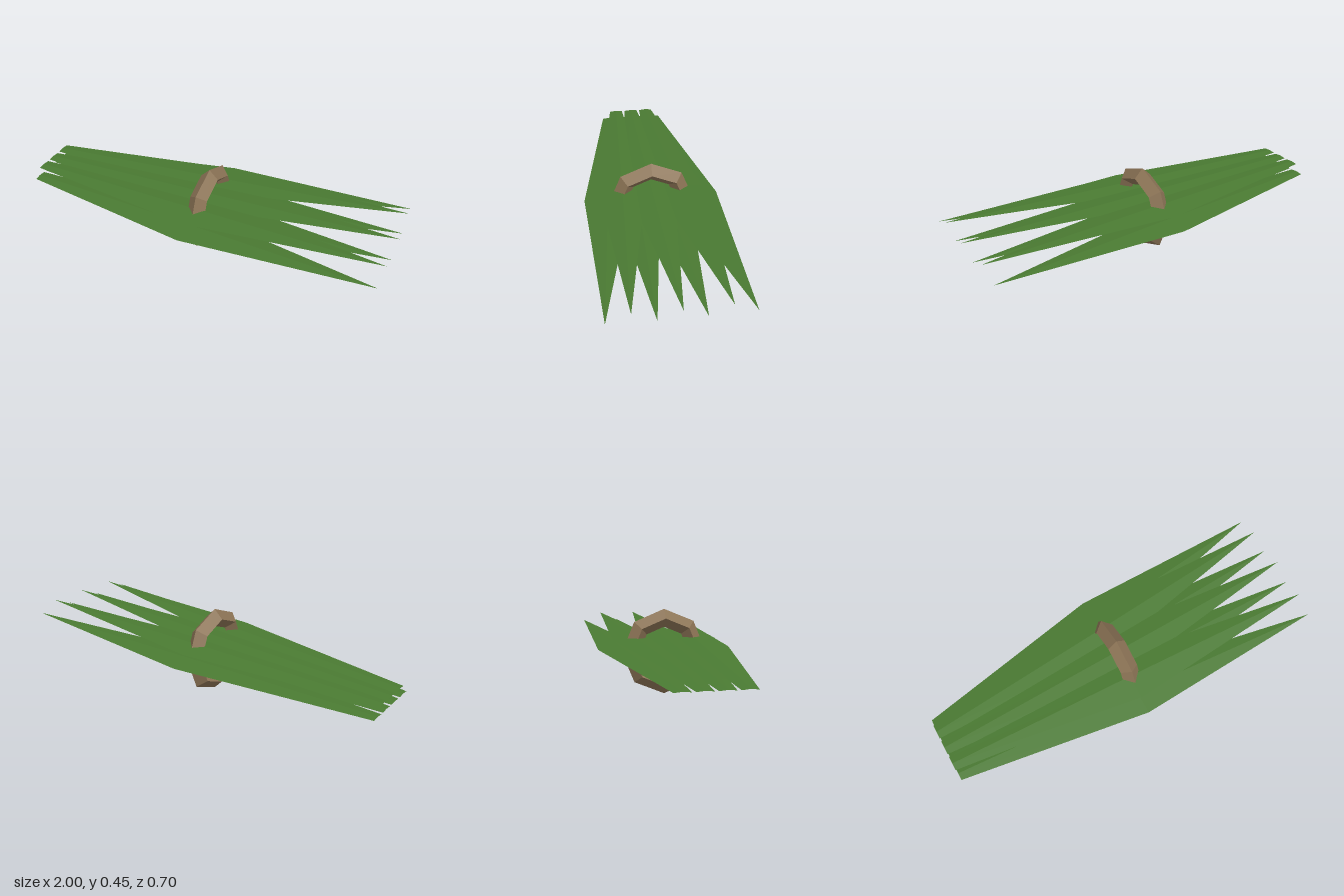
import * as THREE from 'three';

const leafGreen = new THREE.MeshStandardMaterial({ color: 0x4a7a32, flatShading: true, side: THREE.DoubleSide });
leafGreen.name = 'leafGreen';
const strapBrown = new THREE.MeshStandardMaterial({ color: 0x8b7355, flatShading: true });
strapBrown.name = 'strapBrown';

// Folded blade: cut tail, widest at the middle, pointed tip.
// slot runs -3..3 across the fan; base is the ridge height at the middle.
function makeBlade(slot, base) {
  // x, spacing per slot, rise, half width, drop of the edges below the ridge
  const sections = [
    [-1, 0.0467, -0.049, 0.038, 0.004],
    [-0.01, 0.0757, 0, 0.125, 0.012],
    [1 - 0.004 * Math.abs(slot), 0.1075, 0.05, 0, 0],
  ].map(([x, spacing, rise, half, drop]) => {
    const z = slot * spacing, y = base + rise;
    return [[x, y - drop, z - half], [x, y, z], [x, y - drop, z + half]];
  });
  const [tail, mid, tip] = sections;
  const triangles = [];
  for (let side = 0; side < 2; side++) {
    const a = tail[side], b = tail[side + 1], c = mid[side + 1], d = mid[side];
    triangles.push(a, b, c, a, c, d, d, c, tip[1]);
  }
  const geometry = new THREE.BufferGeometry();
  geometry.setAttribute('position', new THREE.Float32BufferAttribute(triangles.flat(), 3));
  geometry.computeVertexNormals();
  return new THREE.Mesh(geometry, leafGreen);
}

export function createModel() {
  const model = new THREE.Group();
  model.name = 'leafBundle';

  // Two overlapping layers of blades
  const layers = [
    { name: 'upperLeaves', base: 0.307, slots: [-2, 0, 2] },
    { name: 'lowerLeaves', base: 0.26, slots: [-3, -1, 1, 3] },
  ];
  for (const { name, base, slots } of layers) {
    const layer = new THREE.Group();
    layer.name = name;
    slots.forEach((slot, i) => {
      const blade = makeBlade(slot, base);
      blade.name = `leaf${i + 1}`;
      layer.add(blade);
    });
    model.add(layer);
  }

  // Eight-sided binding ring with a diamond section
  const ring = new THREE.Mesh(new THREE.TorusGeometry(0.179, 0.0475, 4, 8), strapBrown);
  ring.name = 'bindingRing';
  ring.rotation.y = Math.PI / 2;
  ring.position.y = 0.2285;
  model.add(ring);

  return model;
}
